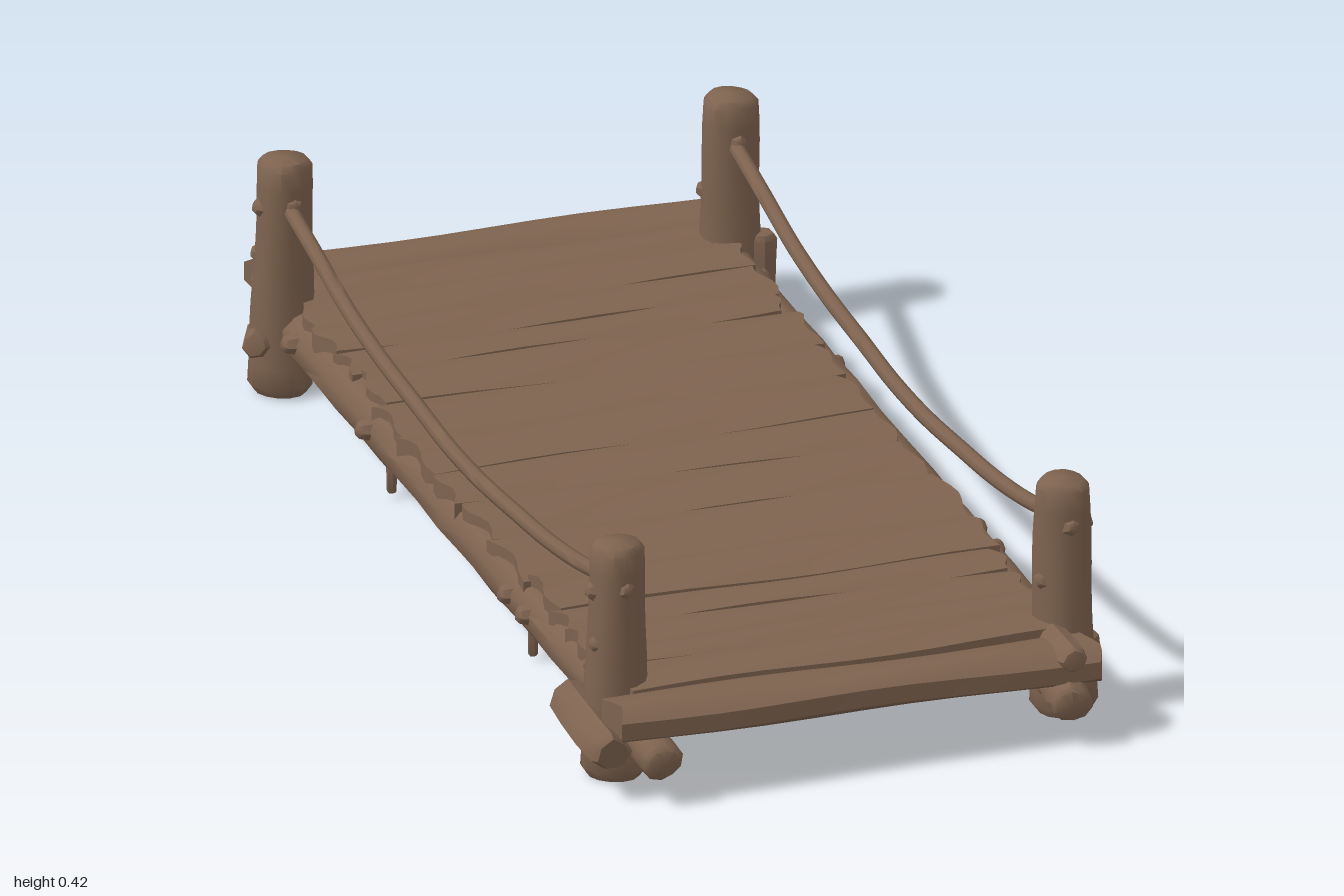
import * as THREE from 'three';
import { toCreasedNormals } from 'three/addons/utils/BufferGeometryUtils.js';

export function createModel() {
  const root = new THREE.Group();
  root.name = 'ropeBridge';
  const wood = new THREE.MeshStandardMaterial({ color: 0x7e634f });
  wood.name = 'weathered wood';

  let seed = 7;
  const rand = () => {
    seed = (seed * 16807) % 2147483647;
    return seed / 2147483647 - 0.5;
  };
  const V = (x, y, z) => new THREE.Vector3(x, y, z);

  const add = (name, geo, crease = 0.8) => {
    const mesh = new THREE.Mesh(toCreasedNormals(geo, crease), wood);
    mesh.name = name;
    root.add(mesh);
  };

  // Hewn log between two points: uneven girth and slightly domed ends
  function log(name, a, b, r0, r1, { sides = 10, rings = 8, rough = 0.08, dome = 0.012 } = {}) {
    const len = a.distanceTo(b);
    const pts = [[0, 0], [r0 * 0.8, 0], [r0, dome]];
    for (let i = 1; i < rings; i++) pts.push([r0 + (r1 - r0) * i / rings, len * i / rings]);
    pts.push([r1, len - dome], [r1 * 0.8, len - dome * 0.3], [0, len]);
    const geo = new THREE.LatheGeometry(pts.map(p => new THREE.Vector2(p[0], p[1])), sides);
    const phase = rand() * 12;
    const p = geo.attributes.position;
    for (let i = 0; i < p.count; i++) {
      const x = p.getX(i), y = p.getY(i), z = p.getZ(i);
      const ang = Math.atan2(z, x);
      const k = 1 + rough * (Math.sin(ang * 3 + phase + y * 9) * 0.6 + Math.sin(ang * 2 - y * 23 + phase) * 0.5);
      p.setXYZ(i, x * k, y, z * k);
    }
    geo.applyQuaternion(new THREE.Quaternion().setFromUnitVectors(V(0, 1, 0), b.clone().sub(a).normalize()));
    geo.translate(a.x, a.y, a.z);
    add(name, geo);
  }

  // Thick plank across the bridge between two z edges, with rounded long edges and ragged ends
  function plank(name, z0, z1, x0, x1, top, thick, { round = 0.18, slope = rand() * 0.008, skew = rand() * 0.016 } = {}) {
    const geo = new THREE.BoxGeometry(1, 1, 1, 10, 1, 6);
    const p = geo.attributes.position;
    const phase = rand() * 12, ragged = rand() * 0.02;
    for (let i = 0; i < p.count; i++) {
      const u = p.getX(i) + 0.5, v = p.getY(i), w = p.getZ(i);
      const body = 1 - round * Math.pow(Math.abs(w) * 2, 4);
      const endShift = u > 0.99 || u < 0.01 ? Math.sin(w * 7 + phase) * 0.008 + ragged * w : 0;
      p.setXYZ(i,
        x0 + u * (x1 - x0) + endShift,
        top - thick / 2 + v * thick * body + slope * (u - 0.5) + 0.002 * Math.sin(u * 9 + w * 5 + phase),
        (z0 + z1) / 2 + w * (z1 - z0) + 0.006 * w * Math.sin(u * 8 + phase) + skew * (u - 0.5));
    }
    add(name, geo, 0.9);
  }

  // Deck planks
  const edges = [-0.885, -0.80, -0.69, -0.58, -0.50, -0.36, -0.22, -0.07, 0.06, 0.215, 0.39, 0.53, 0.61, 0.70, 0.78, 0.88];
  for (let i = 0; i < edges.length - 1; i++) {
    plank('plank' + (i + 1), edges[i] - 0.002, edges[i + 1] + 0.002,
      -0.375 + rand() * 0.02, 0.392 + rand() * 0.02, 0.174 + rand() * 0.009, 0.062);
  }

  // Heavy boards closing both ends, and the beam under the back one
  plank('frontEndBoard', 0.872, 0.98, -0.42, 0.425, 0.168, 0.06, { round: 0.5, slope: -0.014, skew: -0.014 });
  plank('backEndBoard', -0.988, -0.878, -0.385, 0.44, 0.178, 0.06, { round: 0.45, slope: 0, skew: 0.008 });
  log('backCrossBeam', V(-0.4, 0.109, -0.89), V(0.4, 0.107, -0.89), 0.028, 0.028);

  for (const s of [-1, 1]) {
    const side = s > 0 ? 'left' : 'right';
    const x = s > 0 ? 0.402 : -0.38;

    // Long side rail
    const railX = s > 0 ? 0.385 : -0.358;
    log(side + 'Rail', V(railX, 0.115, 0.9), V(railX + 0.006, 0.115, -0.9), 0.045, 0.045, { rings: 16, rough: 0.06 });

    for (const e of [-1, 1]) {
      const end = e > 0 ? 'Front' : 'Back';
      const z = e * 0.83;

      // Rail tips jutting out under the end boards
      const tipX = s > 0 ? 0.365 : e > 0 ? -0.352 : -0.342;
      log(side + end + 'RailTip', V(railX, 0.102, e * 0.8), V(tipX, 0.081, e * 1.0), 0.038, 0.034, { rings: 4 });

      // Posts with splinter knots
      log(side + end + 'Post', V(x + s * 0.004, 0.004, z), V(x + 0.003, 0.424, z), 0.056, 0.045, { dome: 0.016, rough: 0.06, sides: 14 });
      for (const [dx, y, dz] of [[s, 0.33, 0.1], [s, 0.19, -0.4], [-s, 0.05, 0.5], [0.1, 0.34, 1], [-1, 0.24, e * 0.4]]) {
        const d = V(dx, 0.2, dz).normalize();
        const c = V(x, y, z);
        log('postKnot', c.clone().addScaledVector(d, 0.025), c.clone().addScaledVector(d, 0.054), 0.024, 0.012, { sides: 6, rings: 2, dome: 0.004 });
      }
    }

    // Sagging handrail rope
    const rope = [];
    for (let i = 0; i <= 10; i++) {
      const t = i / 5 - 1;
      rope.push(V(x + 0.002 * Math.sin(i * 2), 0.246 + 0.1 * t * t, t * 0.82));
    }
    add(side + 'Rope', new THREE.TubeGeometry(new THREE.CatmullRomCurve3(rope), 40, 0.0135, 8), 1.2);

    // Pegs hanging under the rail
    for (const z of [0.355, -0.35]) {
      log(side + 'Peg', V(railX, 0.012, z), V(railX, 0.1, z), 0.008, 0.01, { sides: 6, rings: 2, dome: 0.003 });
    }

    // Trimmed branch knots along the rail
    for (const z of [-0.73, -0.36, 0.35, 0.44]) {
      log('railKnot', V(railX, 0.12, z + s * 0.005), V(x + s * 0.036, 0.128, z), 0.024, 0.014, { sides: 6, rings: 2, dome: 0.004 });
    }
  }

  // Extra pegs on the left side
  log('leftThinPeg', V(0.38, 0.015, -0.63), V(0.38, 0.1, -0.63), 0.008, 0.01, { sides: 6, rings: 2, dome: 0.003 });
  log('leftThickPeg', V(0.38, 0.014, 0.63), V(0.385, 0.1, 0.6), 0.024, 0.022, { sides: 7, rings: 2 });

  // Short offcuts wedged beside the posts
  log('rightFrontOffcut', V(-0.425, 0.09, 0.95), V(-0.44, 0.12, 0.75), 0.036, 0.034, { sides: 7, rings: 3, rough: 0.14 });
  log('leftBackOffcut', V(0.445, 0.035, -0.8), V(0.447, 0.18, -0.8), 0.027, 0.028, { sides: 6, rings: 3 });
  log('rightBackOffcut', V(-0.40, 0.09, -0.86), V(-0.445, 0.105, -0.79), 0.034, 0.024, { sides: 7, rings: 2 });
  log('leftFrontOffcut', V(0.37, 0.10, 0.87), V(0.465, 0.115, 0.81), 0.034, 0.024, { sides: 7, rings: 2 });
  log('leftFrontStub', V(0.372, 0.15, 0.86), V(0.374, 0.155, 0.985), 0.027, 0.024, { sides: 8, rings: 3 });

  return root;
}
